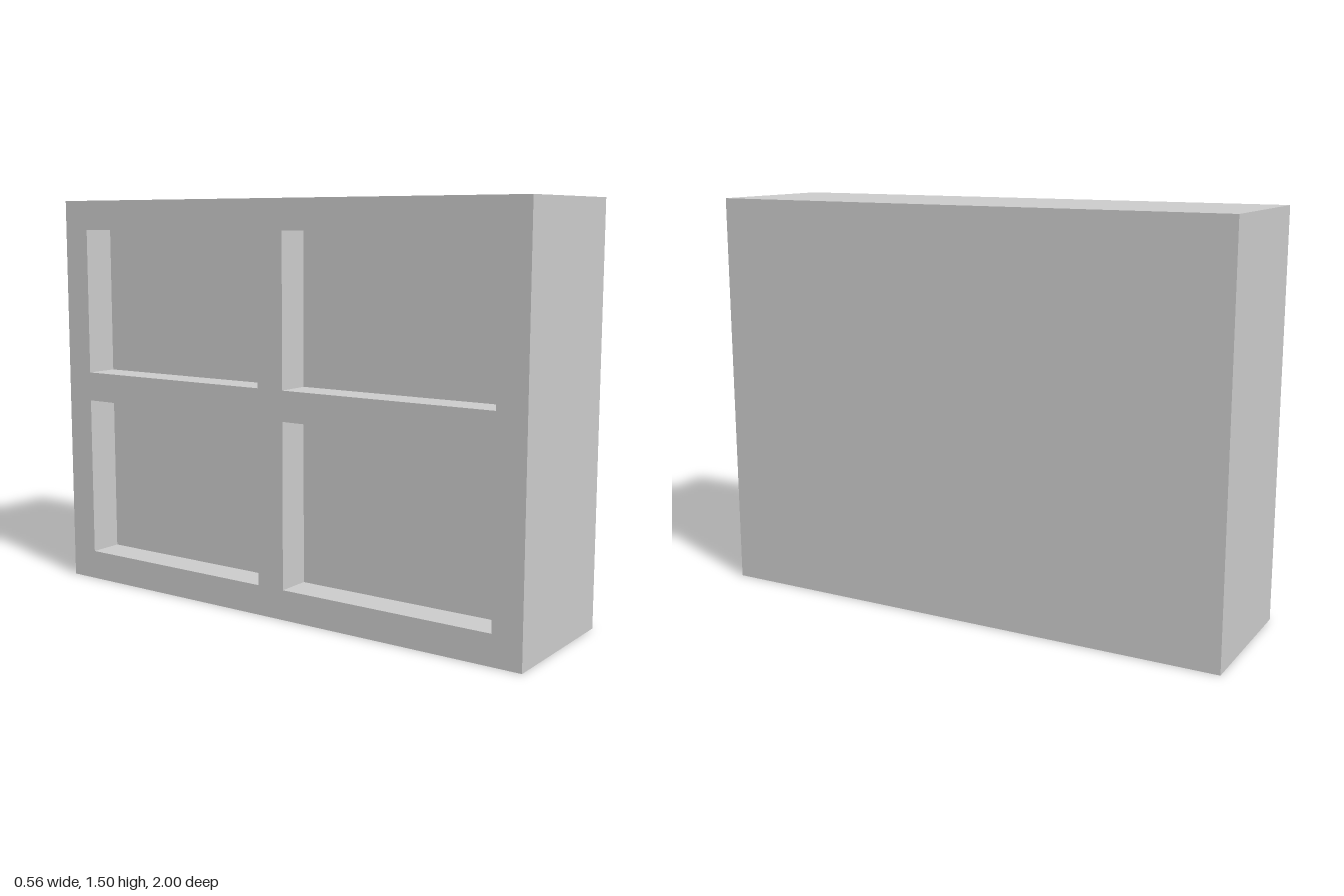
import * as THREE from 'three';

const WIDTH = 0.556, HEIGHT = 1.5, LENGTH = 2;
const RECESS = 0.128; // depth of the open compartments

// Rectangle outline from corner (a0, b0) to corner (a1, b1)
function rectangle(Type, a0, b0, a1, b1) {
  const path = new Type();
  path.moveTo(a0, b0);
  path.lineTo(a1, b0);
  path.lineTo(a1, b1);
  path.lineTo(a0, b1);
  path.closePath();
  return path;
}

export function createModel() {
  const model = new THREE.Group();
  model.name = 'cabinet';
  const material = new THREE.MeshStandardMaterial({ color: 0xcccccc, flatShading: true });

  // Solid body behind the compartments
  const bodyWidth = WIDTH - RECESS;
  const body = new THREE.Mesh(new THREE.BoxGeometry(bodyWidth, HEIGHT, LENGTH), material);
  body.name = 'body';
  body.position.set((WIDTH - bodyWidth) / 2, HEIGHT / 2, 0);
  model.add(body);

  // Frame with two columns and two rows of openings, facing -x
  const outline = rectangle(THREE.Shape, -LENGTH / 2, 0, LENGTH / 2, HEIGHT);
  for (const [z0, z1] of [[-0.889, -0.055], [0.055, 0.889]]) {
    for (const [y0, y1] of [[0.111, 0.722], [0.833, 1.389]]) {
      outline.holes.push(rectangle(THREE.Path, z0, y0, z1, y1));
    }
  }
  const frameGeometry = new THREE.ExtrudeGeometry(outline, { depth: RECESS, bevelEnabled: false });
  frameGeometry.rotateY(-Math.PI / 2); // shape x becomes z, depth runs towards -x
  const frame = new THREE.Mesh(frameGeometry, material);
  frame.name = 'compartmentFrame';
  frame.position.x = -WIDTH / 2 + RECESS;
  model.add(frame);

  return model;
}
